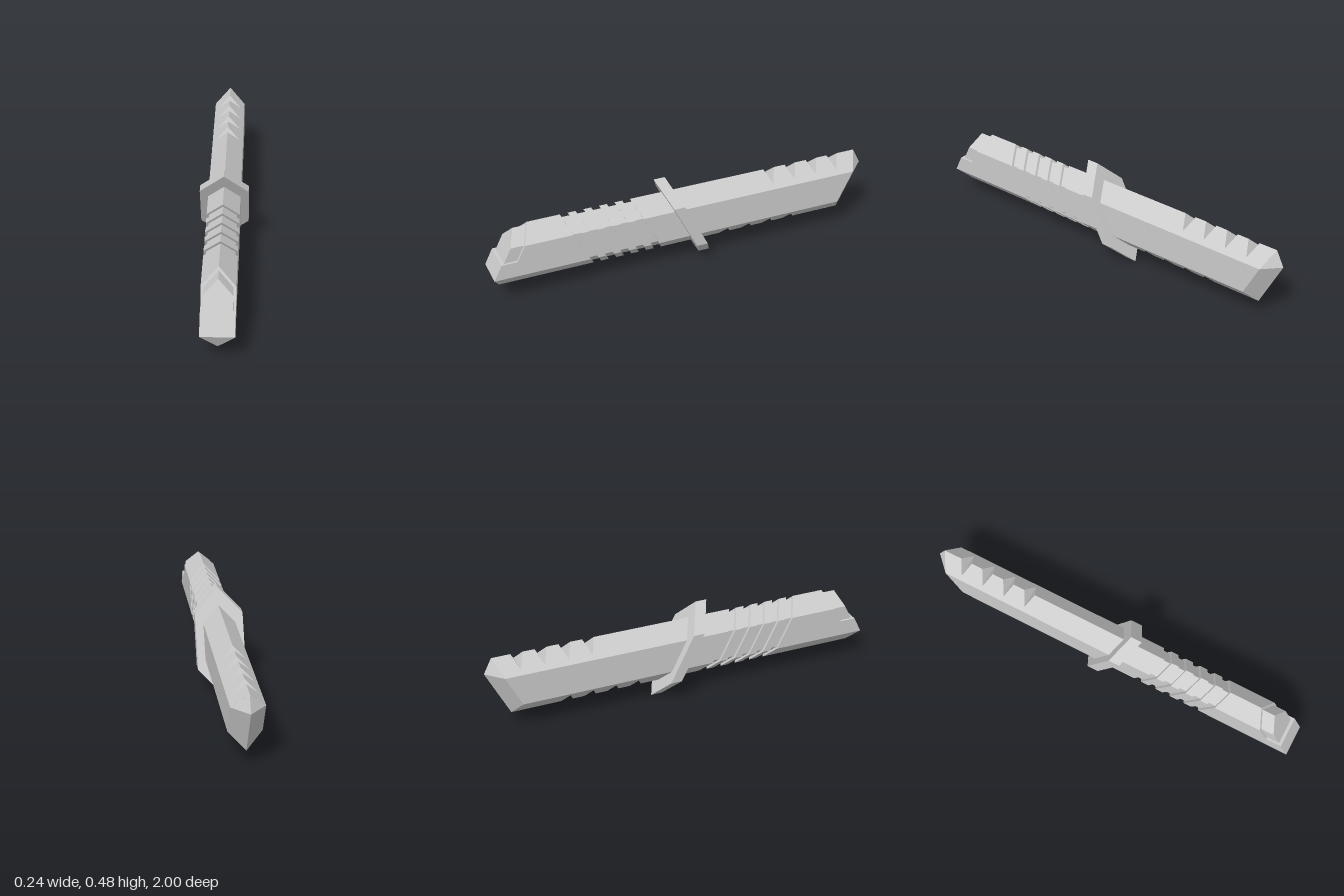
import * as THREE from 'three';
import { ConvexGeometry } from 'three/addons/geometries/ConvexGeometry.js';

const CY = 0.244;              // height of the long axis
const W = 0.08, H = 0.081;     // half width and half side height of the hexagon

const material = new THREE.MeshStandardMaterial({ color: 0xcccccc, flatShading: true });

// Hexagon outline, counter-clockwise seen from +z; top and bottom cut off to half widths t and b
function hexagon(w, h, t = 0, b = 0) {
  return [
    [w, -h], [w, h], [t, h + w - t], [-t, h + w - t],
    [-w, h], [-w, -h], [-b, -h - w + b], [b, -h - w + b],
  ];
}

// Outline placed at z, leaning by dz/dy = lean
function ring(outline, z, lean = 0) {
  return outline.map(([x, y]) => new THREE.Vector3(x, CY + y, z + lean * y));
}

// Closed faceted skin over rings ordered from front to back
function loft(rings) {
  const points = [];
  const n = rings[0].length;
  for (let i = 0; i < rings.length - 1; i++) {
    const f = rings[i], r = rings[i + 1];
    for (let a = 0; a < n; a++) {
      const b = (a + 1) % n;
      points.push(f[a], r[a], r[b], f[a], r[b], f[b]);
    }
  }
  const front = rings[0], back = rings[rings.length - 1];
  for (let a = 1; a < n - 1; a++) {
    points.push(front[0], front[a], front[a + 1], back[0], back[a + 1], back[a]);
  }
  const geometry = new THREE.BufferGeometry().setFromPoints(points);
  geometry.computeVertexNormals();
  return geometry;
}

// Convex solid from [x, y, z] points, each mirrored across x = 0
function mirroredHull(points) {
  const all = [];
  for (const [x, y, z] of points) {
    all.push(new THREE.Vector3(x, y, z));
    if (x) all.push(new THREE.Vector3(-x, y, z));
  }
  return new ConvexGeometry(all);
}

export function createModel() {
  const model = new THREE.Group();
  const add = (name, geometry) => {
    const mesh = new THREE.Mesh(geometry, material);
    mesh.name = name;
    model.add(mesh);
  };
  const full = hexagon(W, H);

  // Handle with five slanted grip grooves
  const grooved = hexagon(0.068, 0.076);
  const handle = [ring(full, 0.88, -0.5)];
  for (let i = 0; i < 5; i++) {
    const z = 0.555 - i * 0.08;
    handle.push(ring(full, z, 0.5), ring(grooved, z, 0.5));
    handle.push(ring(grooved, z - 0.04, 0.5), ring(full, z - 0.04, 0.5));
  }
  handle.push(ring(full, 0, 0.5));
  add('handle', loft(handle));

  // Wedge-shaped heel below the step at the handle's end
  add('heel', mirroredHull([
    [W, CY, 0.88], [W, CY, 0.96], [W, CY - H, 1], [W, CY - H, 0.92], [0, CY - H - W, 0.96],
  ]));

  // Inset knob standing on the heel's step
  const pentagon = [[0.068, 0], [0.068, 0.077], [0, 0.145], [-0.068, 0.077], [-0.068, 0]];
  add('knob', loft([ring(pentagon, 0.945, -0.5), ring(pentagon, 0.84, -0.5)]));

  // Leaning guard
  const guard = hexagon(0.12, 0.122);
  add('guard', loft([ring(guard, 0.029, 0.5), ring(guard, -0.029, 0.5)]));

  // Blade with V notches on both edges, trimmed by a slanted end plane
  const bladeRing = (z, t, b) => {
    const r = ring(hexagon(W, H, t, b), z);
    for (const p of r) p.z = Math.max(p.z, -0.88 - 0.5 * (p.y - CY));
    return r;
  };
  const blade = [ring(full, 0, 0.5)];
  for (let i = 0; i < 6; i++) {
    const z = -0.235 - i * 0.12;
    const top = i >= 2 ? 0.06 : 0;
    const bottom = i < 4 ? 0.06 : 0;
    blade.push(bladeRing(z + 0.03, 0, 0), bladeRing(z, top, bottom), bladeRing(z - 0.03, 0, 0));
  }
  blade.push(bladeRing(-2, 0, 0));
  add('blade', loft(blade));

  // Pointed blade tip with a vertical ridge
  add('tip', mirroredHull([
    [W, CY + H, -0.92], [W, CY - H, -0.84], [0, CY + H + W, -0.96],
    [0, CY - H - W, -0.8], [0, CY + H, -1], [0, CY - H - W, -0.88],
  ]));

  return model;
}
